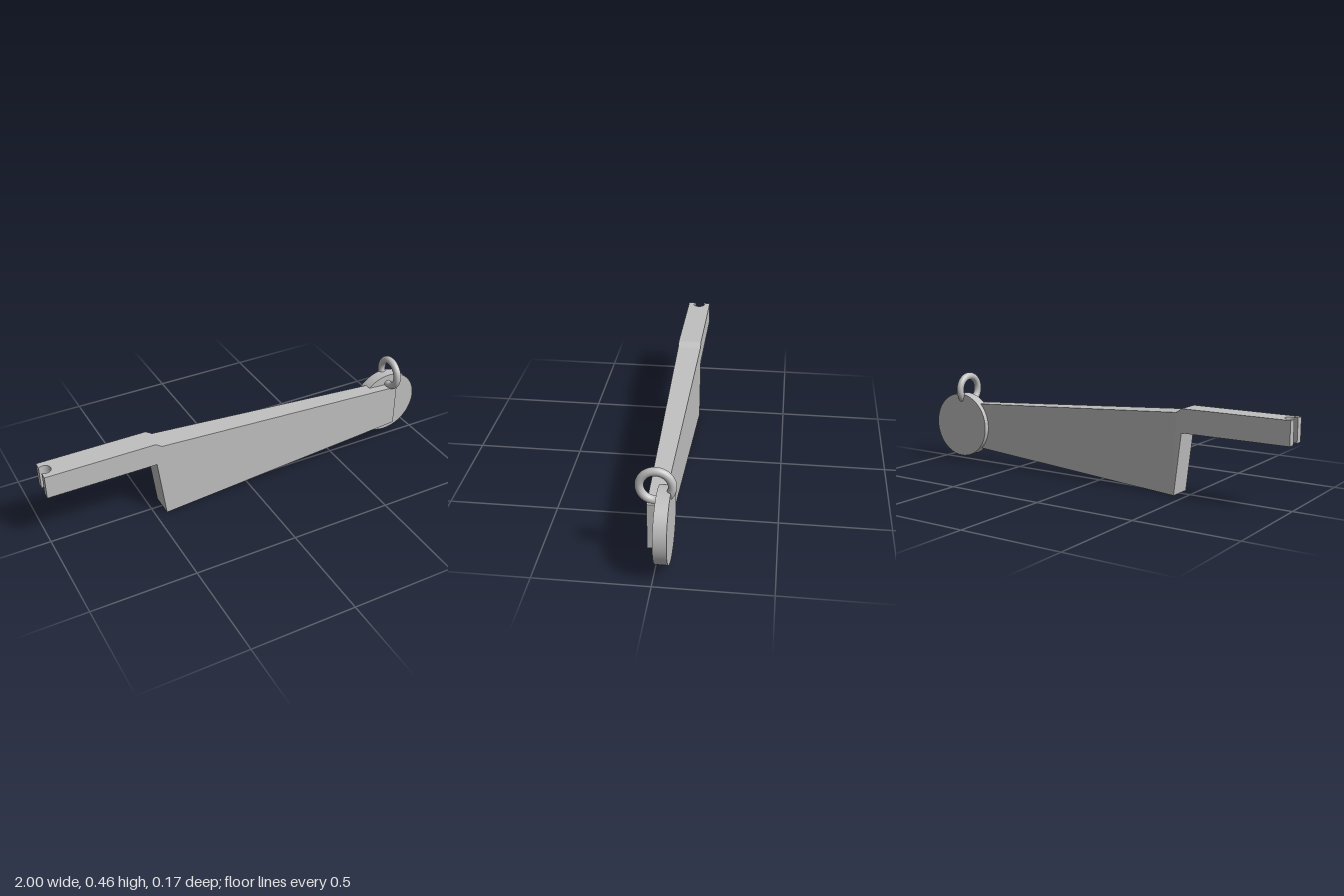
import * as THREE from 'three';

const HALF = 0.0575; // half thickness of the handle and shoulder
const TIP_HALF = 0.035; // half thickness at the tip

export function createModel() {
  const group = new THREE.Group();
  const grey = new THREE.MeshStandardMaterial({ color: 0xc0c0c0 });
  grey.name = 'grey';

  const add = (name, geometry) => {
    const mesh = new THREE.Mesh(geometry, grey);
    mesh.name = name;
    group.add(mesh);
    return mesh;
  };

  // Side profile extruded across z, centred on z = 0
  const slab = (points) => {
    const shape = new THREE.Shape(points.map(([x, y]) => new THREE.Vector2(x, y)));
    const geometry = new THREE.ExtrudeGeometry(shape, { depth: HALF * 2, bevelEnabled: false });
    return geometry.translate(0, 0, -HALF);
  };

  // Handle bar with a round slot cut into its end
  const slotX = -0.98, slotR = 0.029;
  const slotAngle = Math.acos((-1 - slotX) / slotR);
  const bar = new THREE.Shape();
  bar.moveTo(-1, -HALF);
  bar.lineTo(-0.48, -HALF);
  bar.lineTo(-0.48, HALF);
  bar.lineTo(-1, HALF);
  bar.lineTo(-1, slotR * Math.sin(slotAngle));
  bar.absarc(slotX, 0, slotR, slotAngle, -slotAngle, true);
  bar.closePath();
  const barGeometry = new THREE.ExtrudeGeometry(bar, { depth: 0.112, bevelEnabled: false, curveSegments: 24 });
  add('handle', barGeometry.rotateX(Math.PI / 2).translate(0, 0.41, 0));

  // Shoulder with the sloped step between handle and blade
  add('shoulder', slab([[-0.48, 0.298], [-0.445, 0.003], [-0.45, 0.39], [-0.48, 0.41]]));

  // Blade, narrowing in thickness towards the tip
  const blade = slab([[-0.445, 0.003], [0.86, 0.09], [0.86, 0.306], [-0.45, 0.39]]);
  const p = blade.attributes.position;
  for (let i = 0; i < p.count; i++) {
    if (p.getX(i) > 0) p.setZ(i, Math.sign(p.getZ(i)) * TIP_HALF);
  }
  blade.computeVertexNormals();
  add('blade', blade);

  // Round disc set into the back of the tip
  const disc = new THREE.CylinderGeometry(0.164, 0.164, 0.057, 96);
  add('disc', disc.rotateX(Math.PI / 2).translate(0.836, 0.197, -0.0345));

  // Ring standing on the tip
  const ring = new THREE.TorusGeometry(0.068, 0.0185, 24, 64);
  add('ring', ring.rotateY(Math.PI / 2).translate(0.832, 0.38, 0));

  return group;
}
